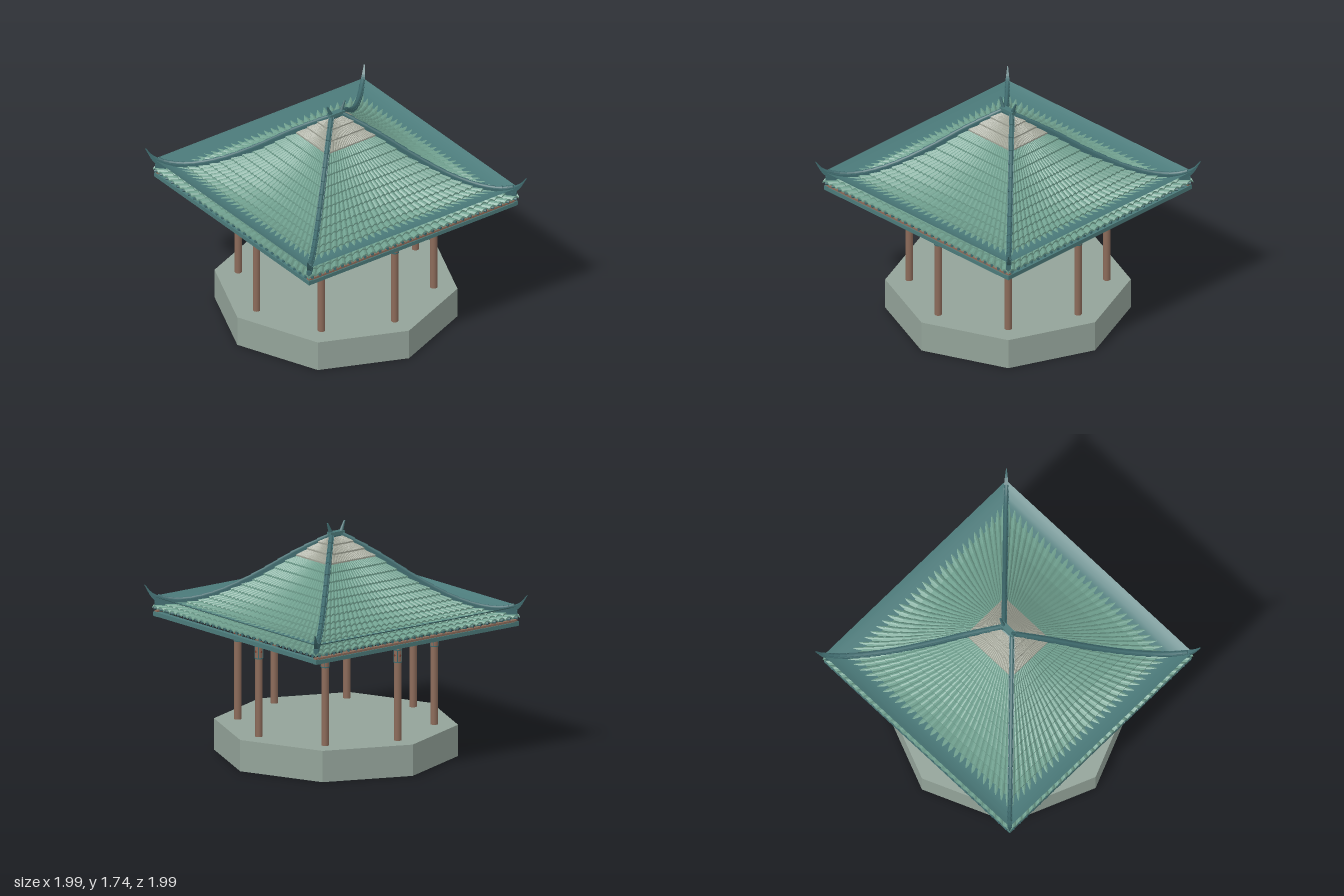
import * as THREE from 'three';
import { mergeGeometries } from 'three/addons/utils/BufferGeometryUtils.js';

const mat = (name, color, side = THREE.FrontSide) => {
  const m = new THREE.MeshStandardMaterial({ color, side });
  m.name = name;
  return m;
};

// Linear lookup in a short [position, height] profile
function lookup(profile, d) {
  let i = 1;
  while (i < profile.length - 1 && profile[i][0] < d) i++;
  const [a, ya] = profile[i - 1], [b, yb] = profile[i];
  return ya + (yb - ya) * (d - a) / (b - a);
}
const TILE = [[0, 1.65], [0.05, 1.615], [0.2, 1.48], [0.4, 1.305], [0.6, 1.165], [0.72, 1.105], [0.85, 1.07], [0.96, 1.045]];
const SHEET = [[0, 1.635], [0.05, 1.6], [0.2, 1.465], [0.4, 1.29], [0.6, 1.15], [0.7, 1.107], [0.76, 1.095], [0.85, 1.103], [0.91, 1.12], [0.95, 1.14]];

// Roof plan: a short ridge along x widening to a square eave
const planX = t => 0.04 + 0.91 * t;
const planZ = t => 0.95 * t;

// Point on roof panel k (0 front, 1 left, 2 back, 3 right), u across, t downslope
function panelPoint(k, u, t, y) {
  const x = planX(t), z = planZ(t);
  return [[u * x, y, z], [x, y, -u * z], [-u * x, y, -z], [-x, y, u * z]][k];
}

// Grid surface from a rule fn(i, j) -> [x, y, z]
function grid(fn, nu, nv, flat = false) {
  const pos = [], idx = [];
  for (let j = 0; j <= nv; j++) for (let i = 0; i <= nu; i++) pos.push(...fn(i, j));
  for (let j = 0; j < nv; j++) for (let i = 0; i < nu; i++) {
    const a = j * (nu + 1) + i, b = a + nu + 1;
    idx.push(a, b, b + 1, a, b + 1, a + 1);
  }
  let g = new THREE.BufferGeometry();
  g.setAttribute('position', new THREE.Float32BufferAttribute(pos, 3));
  g.setIndex(idx);
  if (flat) g = g.toNonIndexed();
  g.computeVertexNormals();
  return g;
}

// One overlapping course of round tiles, with a riser at its lower edge
const COLS = 28, ROWS = 16, SEG = 4;
function tileCourse(k, row) {
  const t0 = 0.03 + 0.975 * row / ROWS, t1 = 0.03 + 0.975 * (row + 1) / ROWS;
  return grid((i, j) => {
    const t = j === 0 ? t0 : t1;
    const bump = Math.sin(Math.PI * (i % SEG) / SEG) * 0.6 * planX(t) / COLS;
    const lift = j === 1 ? 0.012 : 0;
    return panelPoint(k, 2 * i / (COLS * SEG) - 1, t, lookup(TILE, 0.95 * t) + bump + lift);
  }, COLS * SEG, 2, true);
}

// Hip ridge: crest curve in (t, y), swept with a tapering rectangular section
const crest = new THREE.CatmullRomCurve3([[0, 1.65], [0.21, 1.505], [0.42, 1.335], [0.63, 1.195], [0.8, 1.13],
  [0.92, 1.125], [1, 1.16], [1.045, 1.225]].map(([t, y]) => new THREE.Vector3(t, y, 0)));
function hipPoint(sx, sz, s) {
  const p = crest.getPoint(s);
  return new THREE.Vector3(sx * planX(p.x), p.y, sz * planZ(p.x));
}
function hipGeometry(sx, sz) {
  const n = 32;
  const corners = [[-1, 0], [1, 0], [1, -1], [-1, -1], [-1, 0]];
  return grid((i, j) => {
    const s = j / n, p = hipPoint(sx, sz, s);
    const taper = s < 0.75 ? 1 : 1 - 0.85 * (s - 0.75) / 0.25;
    const [a, b] = corners[i];
    const w = 0.014 * taper * a;
    return [p.x + w * sz, p.y + 0.055 * taper * b, p.z - w * sx];
  }, 4, n, true);
}

// Cylinder between two points
function rod(a, b, r0, r1, sides = 8) {
  const d = b.clone().sub(a);
  const g = new THREE.CylinderGeometry(r1, r0, d.length(), sides);
  g.applyQuaternion(new THREE.Quaternion().setFromUnitVectors(new THREE.Vector3(0, 1, 0), d.normalize()));
  const m = a.clone().add(b).multiplyScalar(0.5);
  return g.translate(m.x, m.y, m.z);
}

export function createModel() {
  const model = new THREE.Group();
  model.name = 'pavilion';
  const stone = mat('stone', 0x93a399);
  const wood = mat('wood', 0x8c6b5a);
  const teal = mat('teal sheet', 0x4b7a7a, THREE.DoubleSide);
  const ridge = mat('ridge teal', 0x3f6b6e, THREE.DoubleSide);
  const green = mat('green tile', 0x6f9f8e, THREE.DoubleSide);
  const grey = mat('grey tile', 0xa0a396, THREE.DoubleSide);
  const red = mat('red ornament', 0x7d4030);
  const add = (name, geometry, material, parent = model) => {
    const m = new THREE.Mesh(geometry, material);
    m.name = name;
    parent.add(m);
    return m;
  };
  const box = (w, h, d, x, y, z) => new THREE.BoxGeometry(w, h, d).translate(x, y, z);

  // Octagonal platform
  add('platform', new THREE.CylinderGeometry(0.895, 0.895, 0.235, 8).toNonIndexed().translate(0, 0.1175, 0), stone)
    .geometry.computeVertexNormals();

  // Eight columns with framed collars
  for (let k = 0; k < 8; k++) {
    const column = new THREE.Group();
    column.name = 'column';
    column.position.set(0.72 * Math.sin(k * Math.PI / 4), 0, 0.72 * Math.cos(k * Math.PI / 4));
    add('shaft', new THREE.CylinderGeometry(0.027, 0.027, 0.755, 16).translate(0, 0.6125, 0), wood, column);
    add('collar', new THREE.CylinderGeometry(0.029, 0.029, 0.1, 16).translate(0, 0.87, 0), wood, column);
    const frame = [0.824, 0.916].map(y => new THREE.CylinderGeometry(0.031, 0.031, 0.008, 16).translate(0, y, 0));
    const marks = [];
    for (let q = 0; q < 4; q++) {
      frame.push(box(0.006, 0.095, 0.006, 0, 0.87, 0.029).rotateY((q + 0.5) * Math.PI / 2));
      marks.push(box(0.014, 0.014, 0.006, 0, 0, 0).rotateZ(Math.PI / 4).translate(0, 0.875, 0.029).rotateY(q * Math.PI / 2));
    }
    add('collarFrame', mergeGeometries(frame), ridge, column);
    add('collarOrnament', mergeGeometries(marks), red, column);
    model.add(column);
  }

  // Square beam ring with timber plates on the front and back
  for (const s of [-1, 1]) {
    add('crossBeam', box(1.89, 0.03, 0.035, 0, 1.005, s * 0.93), teal);
    add('sideBeam', box(0.035, 0.032, 1.895, s * 0.93, 1.009, 0), teal);
    add('timberPlate', box(1.88, 0.015, 0.03, 0, 1.028, s * 0.925), wood);
  }

  // Roof sheet with upturned eaves, tile courses and tile ends
  const caps = [];
  for (let k = 0; k < 4; k++) {
    add('roofSheet', grid((i, j) => {
      const t = j / 38;
      return panelPoint(k, i / 2 - 1, t, lookup(SHEET, 0.95 * t));
    }, 4, 38), teal);
    const courses = Array.from({ length: ROWS }, (_, r) => tileCourse(k, r));
    add('upperTiles', mergeGeometries(courses.slice(0, 3)), grey);
    add('lowerTiles', mergeGeometries(courses.slice(3)), green);
    for (let c = 0; c < COLS; c++) {
      const u = 2 * (c + 0.5) / COLS - 1;
      const end = t => new THREE.Vector3(...panelPoint(k, u, t, 1.056));
      caps.push(rod(end(0.97), end(1.012), 0.011, 0.011));
    }
  }
  add('tileEnds', mergeGeometries(caps), ridge);

  // Hip ridges with roll tiles, upturned tips and corner blocks
  for (const sx of [-1, 1]) for (const sz of [-1, 1]) {
    const hip = new THREE.Group();
    hip.name = 'hipRidge';
    add('hipCrest', hipGeometry(sx, sz), ridge, hip);
    const rolls = [];
    for (let i = 0; i < 16; i++)
      rolls.push(rod(hipPoint(sx, sz, i * 0.05), hipPoint(sx, sz, i * 0.05 + 0.052), 0.012, 0.017));
    add('rollTiles', mergeGeometries(rolls), ridge, hip);
    add('cornerBlock', box(0.035, 0.05, 0.1, 0, 0, 0).rotateY(sx * sz * Math.PI / 4)
      .translate(sx * 0.905, 1.08, sz * 0.905), ridge, hip);
    model.add(hip);
  }

  // Top ridge with a pair of horns
  add('topRidge', box(0.13, 0.025, 0.045, 0, 1.652, 0), teal);
  add('ridgeBase', box(0.1, 0.03, 0.035, 0, 1.63, 0), ridge);
  for (const s of [-1, 1])
    add('ridgeHorn', rod(new THREE.Vector3(s * 0.045, 1.65, 0), new THREE.Vector3(s * 0.08, 1.735, 0), 0.017, 0.006, 6), ridge);

  return model;
}
